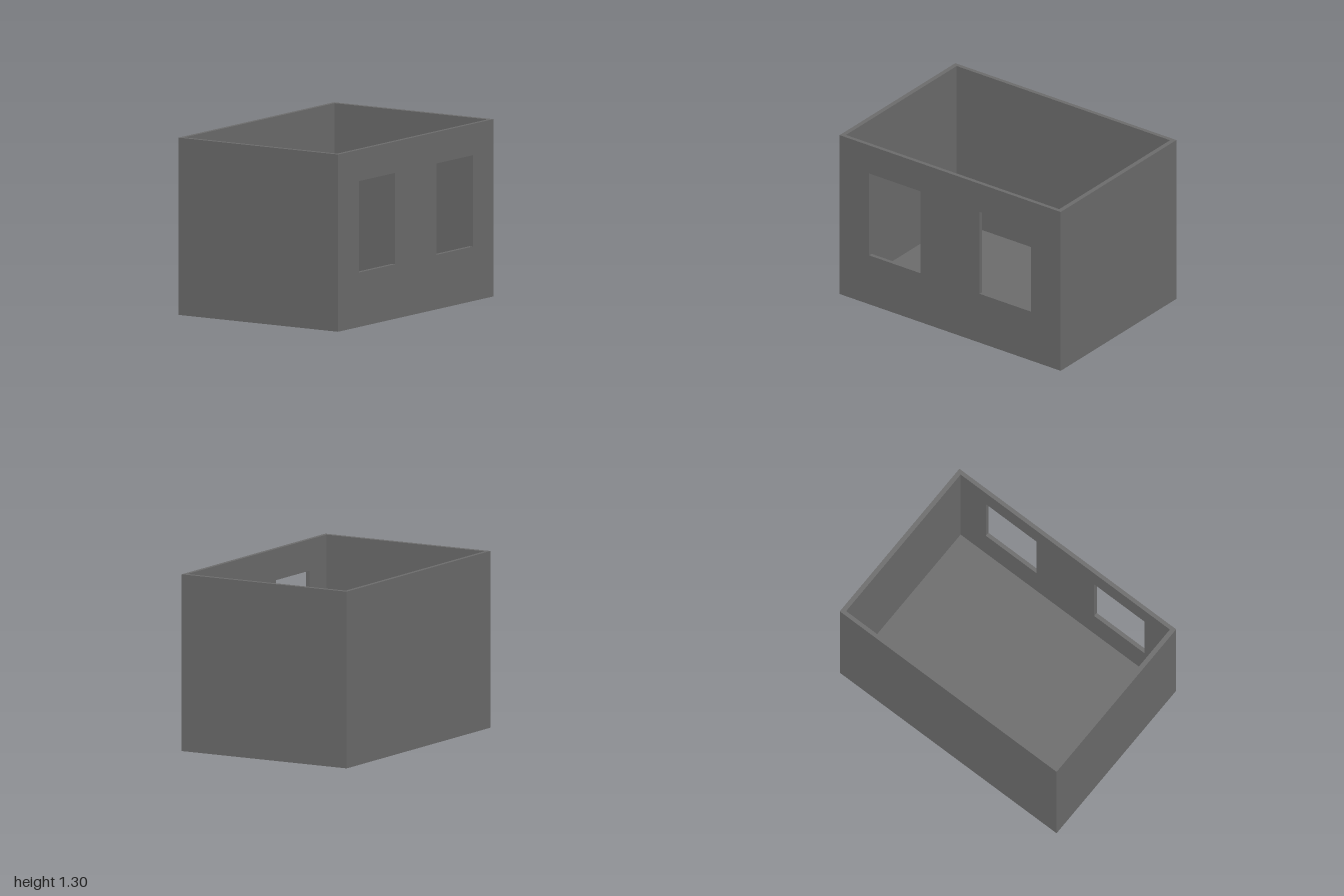
import * as THREE from 'three';

const WIDTH = 1.4, HEIGHT = 1.3, LENGTH = 2;
const T = 0.03;      // side wall and floor thickness
const END_T = 0.035; // front and back wall thickness

export function createModel() {
  const group = new THREE.Group();
  group.name = 'roomShell';
  const material = new THREE.MeshStandardMaterial({ color: 0x6b6b6b });

  function add(name, geometry, x, y, z) {
    const mesh = new THREE.Mesh(geometry, material);
    mesh.name = name;
    mesh.position.set(x, y, z);
    group.add(mesh);
  }

  // Rectangle outline, used for the wall and its window openings
  function rectangle(path, x0, y0, x1, y1) {
    path.moveTo(x0, y0);
    path.lineTo(x1, y0);
    path.lineTo(x1, y1);
    path.lineTo(x0, y1);
    path.closePath();
    return path;
  }

  // Front and back walls
  for (const [name, side] of [['frontWall', 1], ['backWall', -1]]) {
    add(name, new THREE.BoxGeometry(WIDTH, HEIGHT, END_T), 0, HEIGHT / 2, side * (LENGTH - END_T) / 2);
  }

  // Plain side wall and floor, fitted between the end walls
  const inner = LENGTH - 2 * END_T;
  add('plainSideWall', new THREE.BoxGeometry(T, HEIGHT, inner), -(WIDTH - T) / 2, HEIGHT / 2, 0);
  add('floor', new THREE.BoxGeometry(WIDTH - 2 * T, T, inner), 0, T / 2, 0);

  // Side wall with two window openings, turned so its length runs along z
  const wall = rectangle(new THREE.Shape(), -inner / 2, 0, inner / 2, HEIGHT);
  for (const centre of [-0.5, 0.5]) {
    wall.holes.push(rectangle(new THREE.Path(), centre - 0.233, 0.4, centre + 0.233, 1.07));
  }
  const wallGeometry = new THREE.ExtrudeGeometry(wall, { depth: T, bevelEnabled: false });
  wallGeometry.rotateY(Math.PI / 2);
  add('windowSideWall', wallGeometry, WIDTH / 2 - T, 0, 0);

  return group;
}
